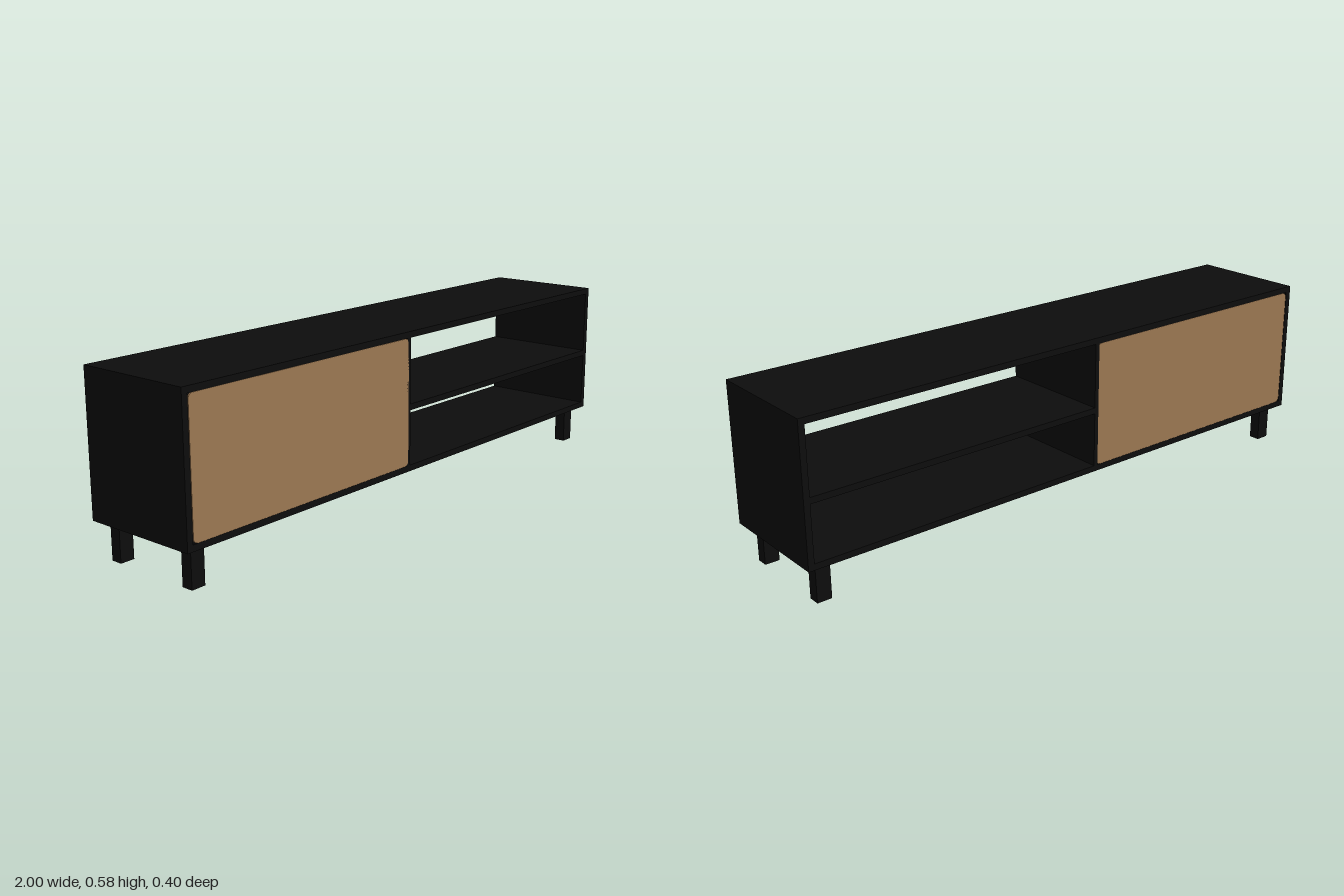
import * as THREE from 'three';

const black = new THREE.MeshStandardMaterial({ color: 0x0d0d0d });
black.name = 'black lacquer';
const wood = new THREE.MeshStandardMaterial({ color: 0x9c7852 });
wood.name = 'brown wood';

// Box given by its limits on each axis
function box(name, [x0, x1], [y0, y1], [z0, z1]) {
  const mesh = new THREE.Mesh(new THREE.BoxGeometry(x1 - x0, y1 - y0, z1 - z0), black);
  mesh.position.set((x0 + x1) / 2, (y0 + y1) / 2, (z0 + z1) / 2);
  mesh.name = name;
  return mesh;
}

// Thin panel with rounded corners, centred on the origin in x and y
function roundedPanel(w, h, r, depth) {
  const x = w / 2, y = h / 2;
  const s = new THREE.Shape();
  s.absarc(x - r, y - r, r, 0, Math.PI / 2);
  s.absarc(-x + r, y - r, r, Math.PI / 2, Math.PI);
  s.absarc(-x + r, -y + r, r, Math.PI, Math.PI * 1.5);
  s.absarc(x - r, -y + r, r, Math.PI * 1.5, Math.PI * 2);
  s.closePath();
  return new THREE.ExtrudeGeometry(s, { depth, bevelEnabled: false, curveSegments: 6 });
}

export function createModel() {
  const model = new THREE.Group();
  model.name = 'mediaCabinet';

  const bottom = 0.124, top = 0.578, t = 0.02, half = 0.2;
  const depth = [-half, half];
  const inner = [bottom + t, top - t];

  // Open case with a divider and one shelf
  model.add(
    box('topBoard', [-1, 1], [top - t, top], depth),
    box('bottomBoard', [-1, 1], [bottom, bottom + t], depth),
    box('rightSide', [-1, -1 + t], inner, depth),
    box('leftSide', [1 - t, 1], inner, depth),
    box('divider', [-0.075, -0.06], inner, depth),
    box('shelf', [-0.06, 1 - t], [0.325, 0.345], depth),
  );

  // Matching doors on the front and the back, over dark backing panels
  const plate = 0.005;
  const doorGeometry = roundedPanel(0.908, 0.413, 0.016, plate);
  for (const side of [1, -1]) {
    const z = [side * (half - plate), side * (half - 0.02)].sort((a, b) => a - b);
    model.add(box('doorBacking', [-1 + t, -0.075], inner, z));
    const door = new THREE.Mesh(doorGeometry, wood);
    door.name = side > 0 ? 'frontDoor' : 'backDoor';
    door.position.set(-0.524, (bottom + top) / 2, side * (half - plate));
    if (side < 0) door.rotation.y = Math.PI;
    model.add(door);
  }

  // Four short legs
  for (const x of [-0.939, 0.939]) {
    for (const z of [-0.15, 0.15]) {
      model.add(box('leg', [x - 0.024, x + 0.024], [0, bottom], [z - 0.019, z + 0.019]));
    }
  }
  return model;
}
